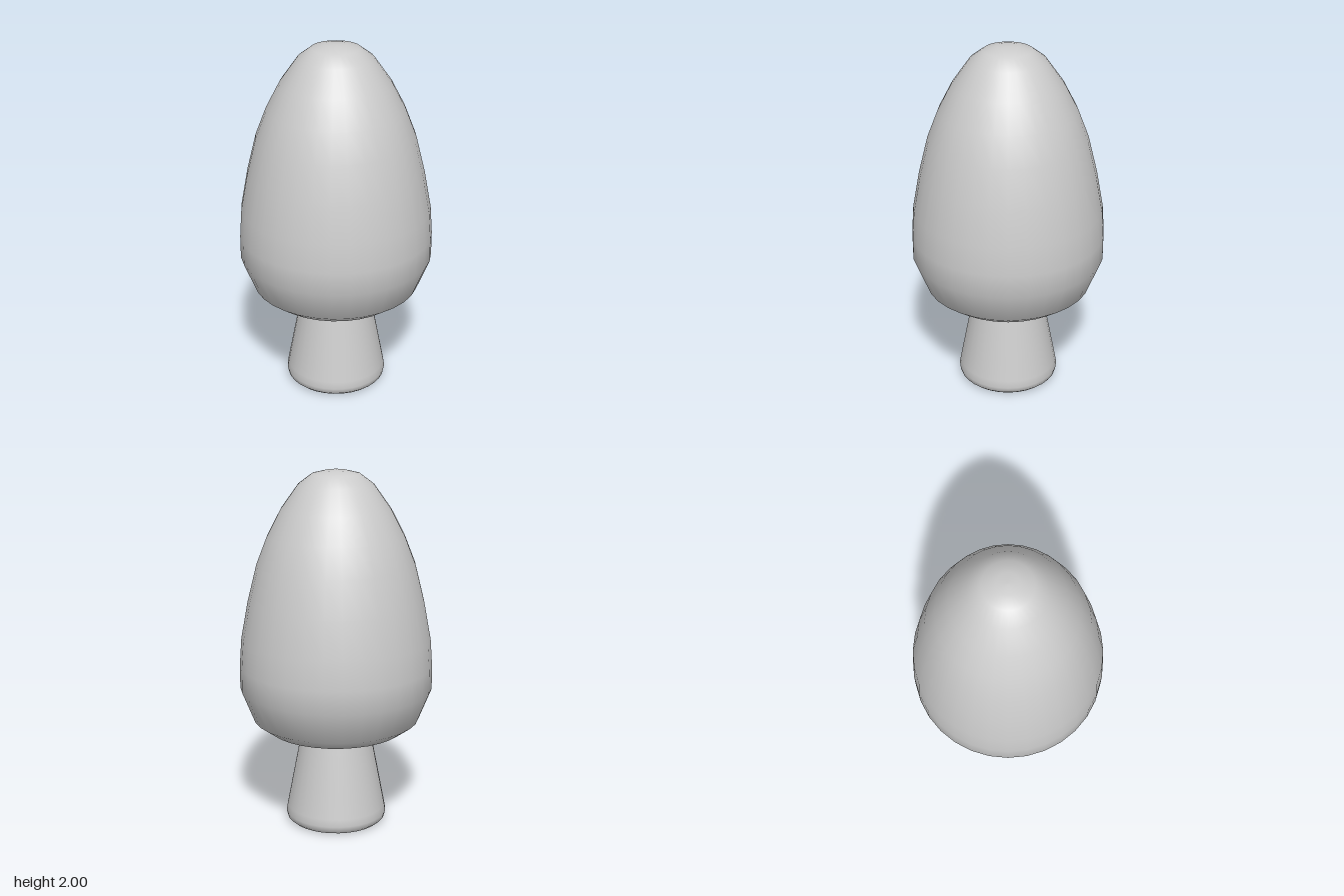
import * as THREE from 'three';

const SEGMENTS = 32;
const PHASE = 0.12; // small twist of the facets around the axis

// Smooth turned part from a profile of [radius, height], bottom to top
function turned(name, profile, material) {
  const points = profile.map(([r, y]) => new THREE.Vector2(r, y));
  const mesh = new THREE.Mesh(new THREE.LatheGeometry(points, SEGMENTS, PHASE), material);
  mesh.name = name;
  return mesh;
}

export function createModel() {
  const grey = new THREE.MeshStandardMaterial({ color: 0xcccccc });
  grey.name = 'light grey';

  const group = new THREE.Group();
  group.name = 'mushroom';

  // Tapered stem with a rounded foot
  group.add(turned('stem', [
    [0, 0], [0.235, 0], [0.26, 0.004], [0.278, 0.02], [0.285, 0.05],
    [0.278, 0.09], [0.21, 0.445], [0.202, 0.488],
  ], grey));

  // Tall cap, with a small fillet where its underside meets the stem
  group.add(turned('cap', [
    [0.202, 0.488], [0.203, 0.505], [0.213, 0.518], [0.25, 0.523], [0.31, 0.53],
    [0.385, 0.552], [0.465, 0.61], [0.537, 0.79], [0.537, 0.92], [0.526, 1.075],
    [0.487, 1.285], [0.436, 1.49], [0.376, 1.645], [0.301, 1.79], [0.205, 1.925],
    [0.132, 1.98], [0.06, 1.998], [0, 2],
  ], grey));

  return group;
}
